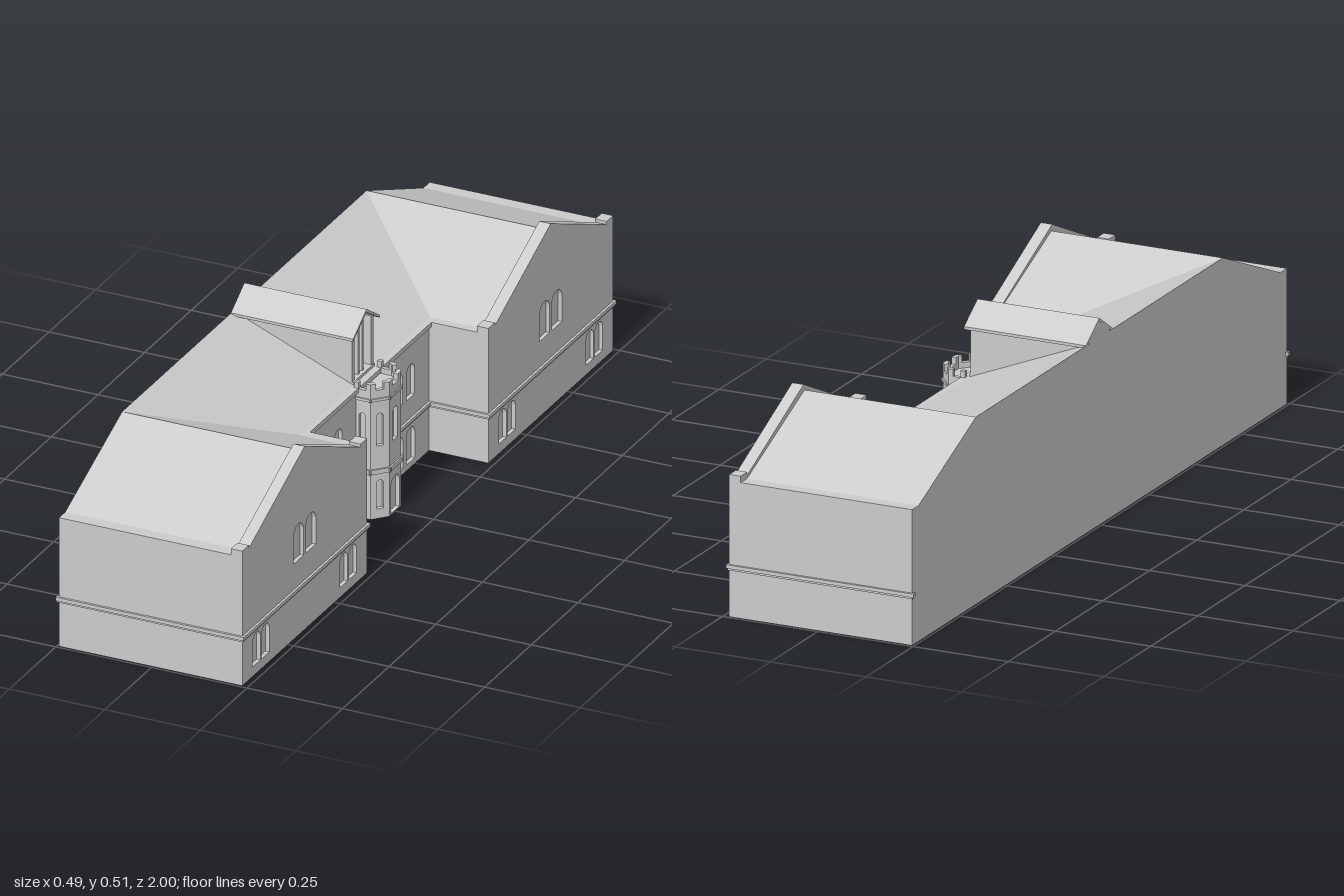
import * as THREE from 'three';

const mat = new THREE.MeshStandardMaterial({ color: 0xcccccc, flatShading: true, side: THREE.DoubleSide });
const BACK = -0.245, FRONT = 0.235, MAIN = 0.08, END = 0.994, INNER = 0.325;
const EAVE = 0.337, RIDGE = 0.465, RIDGE_Z = 0.655;

function add(parent, name, geometry) {
  const mesh = new THREE.Mesh(geometry, mat);
  mesh.name = name;
  parent.add(mesh);
  return mesh;
}

function box(parent, name, x0, x1, y0, y1, z0, z1) {
  const g = new THREE.BoxGeometry(x1 - x0, y1 - y0, z1 - z0);
  g.translate((x0 + x1) / 2, (y0 + y1) / 2, (z0 + z1) / 2);
  return add(parent, name, g);
}

// Flat convex panel, wound so that it faces the hint direction
function panel(parent, name, points, hint) {
  const p = points.map(a => new THREE.Vector3(...a));
  const n = p[1].clone().sub(p[0]).cross(p[2].clone().sub(p[0]));
  if (n.dot(new THREE.Vector3(...hint)) < 0) p.reverse();
  const tris = [];
  for (let i = 1; i < p.length - 1; i++) tris.push(p[0], p[i], p[i + 1]);
  const g = new THREE.BufferGeometry().setFromPoints(tris);
  g.computeVertexNormals();
  return add(parent, name, g);
}

// Round-headed opening, w wide and h high, centred on u
function arch(u, y, w, h, C = THREE.Path) {
  const s = new C(), r = w / 2;
  s.moveTo(u - r, y);
  s.lineTo(u + r, y);
  s.lineTo(u + r, y + h - r);
  s.absarc(u, y + h - r, r, 0, Math.PI, false);
  s.lineTo(u - r, y);
  return s;
}

// Frame along a wall from a to b (x, z): u along, y up, outward normal
function wallMatrix(a, b, inset) {
  const u = new THREE.Vector3(b[0] - a[0], 0, b[1] - a[1]).normalize();
  const n = new THREE.Vector3(-u.z, 0, u.x);
  return new THREE.Matrix4().makeBasis(u, new THREE.Vector3(0, 1, 0), n)
    .setPosition(a[0] - n.x * inset, 0, a[1] - n.z * inset);
}
const span = (a, b) => Math.hypot(b[0] - a[0], b[1] - a[1]);

// Wall with arched openings and panes set back in them
function wall(parent, name, a, b, profile, windows = [], thick = 0.015) {
  const shape = new THREE.Shape(profile.map(p => new THREE.Vector2(...p)));
  shape.holes = windows.map(w => arch(...w));
  const g = new THREE.ExtrudeGeometry(shape, { depth: thick, bevelEnabled: false, curveSegments: 8 });
  add(parent, name, g.applyMatrix4(wallMatrix(a, b, thick)));
  for (const w of windows) {
    const pane = new THREE.ShapeGeometry(arch(...w, THREE.Shape), 8);
    add(parent, 'windowPane', pane.applyMatrix4(wallMatrix(a, b, 0.01)));
  }
}

// Projecting moulding along a wall
function course(parent, name, a, b, y0, y1, out = 0.006) {
  const L = span(a, b);
  const g = new THREE.BoxGeometry(L + 2 * out, y1 - y0, out * 2);
  g.translate(L / 2, (y0 + y1) / 2, 0);
  add(parent, name, g.applyMatrix4(wallMatrix(a, b, 0)));
}
function stringCourse(parent, a, b) {
  course(parent, 'stringCourse', a, b, 0.121, 0.13);
  course(parent, 'stringCourseLowerFillet', a, b, 0.116, 0.121, 0.003);
}

const pair = (u, gap, y, w, h) => [[u - gap, y, w, h], [u + gap, y, w, h]];
const rect = (L, h) => [[0, 0], [L, 0], [L, h], [0, h]];

function createWing(s) {
  const wing = new THREE.Group();
  wing.name = s > 0 ? 'leftWing' : 'rightWing';
  const L = END - INNER, c = L / 2;

  // Gabled front with kneelers and raised coping
  const a = [FRONT, s > 0 ? END : -INNER], b = [FRONT, s > 0 ? INNER : -END];
  const gable = [[0, 0], [L, 0], [L, 0.353], [L - 0.035, 0.353], [L - 0.035, 0.345],
    [c, 0.48], [0.035, 0.345], [0.035, 0.353], [0, 0.353]];
  wall(wing, 'gableWall', a, b, gable, [
    ...pair(c, 0.033, 0.197, 0.054, 0.094),
    ...pair(c - 0.234, 0.024, 0.025, 0.041, 0.083),
    ...pair(c + 0.234, 0.024, 0.025, 0.041, 0.083)], 0.03);
  stringCourse(wing, a, b);

  // End wall and the return wall facing the court
  const e = [[BACK, s * END], [FRONT, s * END]];
  const r = [[FRONT, s * INNER], [MAIN, s * INNER]];
  if (s < 0) { e.reverse(); r.reverse(); }
  for (const [name, [p, q]] of [['endWall', e], ['returnWall', r]]) {
    panel(wing, name, [[p[0], 0, p[1]], [q[0], 0, q[1]], [q[0], EAVE, q[1]], [p[0], EAVE, p[1]]],
      [0, 0, name === 'endWall' ? s : -s]);
    stringCourse(wing, p, q);
  }

  // Roof slopes and flat eave ledges
  const up = [0, 1, 0], rz = s * RIDGE_Z, xr = 0.205;
  panel(wing, 'outerRoof', [[BACK, RIDGE, rz], [xr, RIDGE, rz], [xr, EAVE, s * 0.96], [BACK, EAVE, s * 0.96]], up);
  panel(wing, 'innerRoof', [[BACK, RIDGE, rz], [xr, RIDGE, rz], [xr, EAVE, s * 0.35], [0.07, EAVE, s * 0.35]], up);
  panel(wing, 'outerLedge', [[BACK, EAVE, s * 0.96], [xr, EAVE, s * 0.96], [xr, EAVE, s * END], [BACK, EAVE, s * END]], up);
  panel(wing, 'innerLedge', [[0.07, EAVE, s * INNER], [xr, EAVE, s * INNER], [xr, EAVE, s * 0.35], [0.07, EAVE, s * 0.35]], up);
  return wing;
}

function createMainRange() {
  const main = new THREE.Group();
  main.name = 'mainRange';
  const a = [MAIN, INNER], b = [MAIN, -INNER], windows = [];
  for (const u of [INNER - 0.194, INNER + 0.194]) {
    windows.push(...pair(u, 0.032, 0.183, 0.042, 0.087), ...pair(u, 0.032, 0.015, 0.046, 0.09));
  }
  wall(main, 'courtWall', a, b, rect(2 * INNER, EAVE), windows);
  stringCourse(main, a, b);
  course(main, 'eaveCornice', a, b, 0.325, EAVE);

  // Single roof slope rising to the tall back wall
  panel(main, 'mainRoof', [[BACK, RIDGE, -RIDGE_Z], [BACK, RIDGE, RIDGE_Z], [0.07, EAVE, 0.35], [0.07, EAVE, -0.35]], [0, 1, 0]);
  panel(main, 'backWall', [[BACK, 0, -END], [BACK, 0, END], [BACK, EAVE, END], [BACK, EAVE, 0.96], [BACK, RIDGE, RIDGE_Z],
    [BACK, RIDGE, -RIDGE_Z], [BACK, EAVE, -0.96], [BACK, EAVE, -END]], [-1, 0, 0]);
  return main;
}

function createTower() {
  const tower = new THREE.Group();
  tower.name = 'entranceTower';
  const plan = [[0.075, 0.067], [0.118, 0.067], [0.15, 0.032], [0.15, -0.032], [0.118, -0.067], [0.075, -0.067]];
  for (let i = 0; i < 5; i++) {
    const a = plan[i], b = plan[i + 1], L = span(a, b), m = L / 2;
    // Each face carries one notch between two merlons
    const top = [[0, 0], [L, 0], [L, 0.353], [L * 0.72, 0.353], [L * 0.72, 0.336], [L * 0.28, 0.336], [L * 0.28, 0.353], [0, 0.353]];
    const openings = i === 2
      ? [[m, 0.003, 0.046, 0.092], [m, 0.19, 0.024, 0.085]]
      : [[m, 0.025, 0.018, 0.075], [m, 0.19, 0.018, 0.085]];
    wall(tower, 'towerFace', a, b, top, openings, 0.011);
    course(tower, 'towerStringCourse', a, b, 0.118, 0.13, 0.004);
    course(tower, 'towerCornice', a, b, 0.308, 0.315, 0.003);
  }
  panel(tower, 'towerRoofDeck', plan.map(([x, z]) => [x, 0.322, z]), [0, 1, 0]);
  return tower;
}

function createDormer() {
  const dormer = new THREE.Group();
  dormer.name = 'gabledDormer';
  const half = 0.057, x = 0.045, eave = 0.473, apex = 0.504;

  // Cheeks running back into the slope, with a recessed front
  for (const s of [-1, 1]) {
    panel(dormer, 'dormerCheek', [[BACK, RIDGE - 0.005, s * half], [x, EAVE, s * half], [x, eave, s * half], [BACK, eave, s * half]], [0, 0, s]);
    box(dormer, 'cornerPost', x, 0.065, EAVE, eave, s > 0 ? half - 0.012 : -half, s > 0 ? half : 0.012 - half);
    box(dormer, 'mullion', x, 0.06, EAVE, 0.49, s * 0.011 - 0.004, s * 0.011 + 0.004);
  }
  for (const [px, n] of [[x, 1], [BACK, -1]]) {
    const low = n > 0 ? EAVE : RIDGE;
    panel(dormer, 'dormerFace', [[px, low, -half], [px, low, half], [px, eave, half], [px, apex, 0], [px, eave, -half]], [n, 0, 0]);
  }
  box(dormer, 'dormerSill', x, 0.068, 0.335, 0.345, -half, half);

  // Roof of two thin overhanging slopes
  const roof = [[-0.072, 0.466], [0, 0.513], [0.072, 0.466], [0.072, 0.459], [0, 0.505], [-0.072, 0.459]];
  const g = new THREE.ExtrudeGeometry(new THREE.Shape(roof.map(p => new THREE.Vector2(...p))),
    { depth: 0.075 - BACK, bevelEnabled: false });
  g.rotateY(Math.PI / 2).translate(BACK, 0, 0);
  add(dormer, 'dormerRoof', g);
  return dormer;
}

export function createModel() {
  const model = new THREE.Group();
  model.name = 'gabledHall';
  model.add(createWing(1), createWing(-1), createMainRange(), createTower(), createDormer());
  return model;
}
